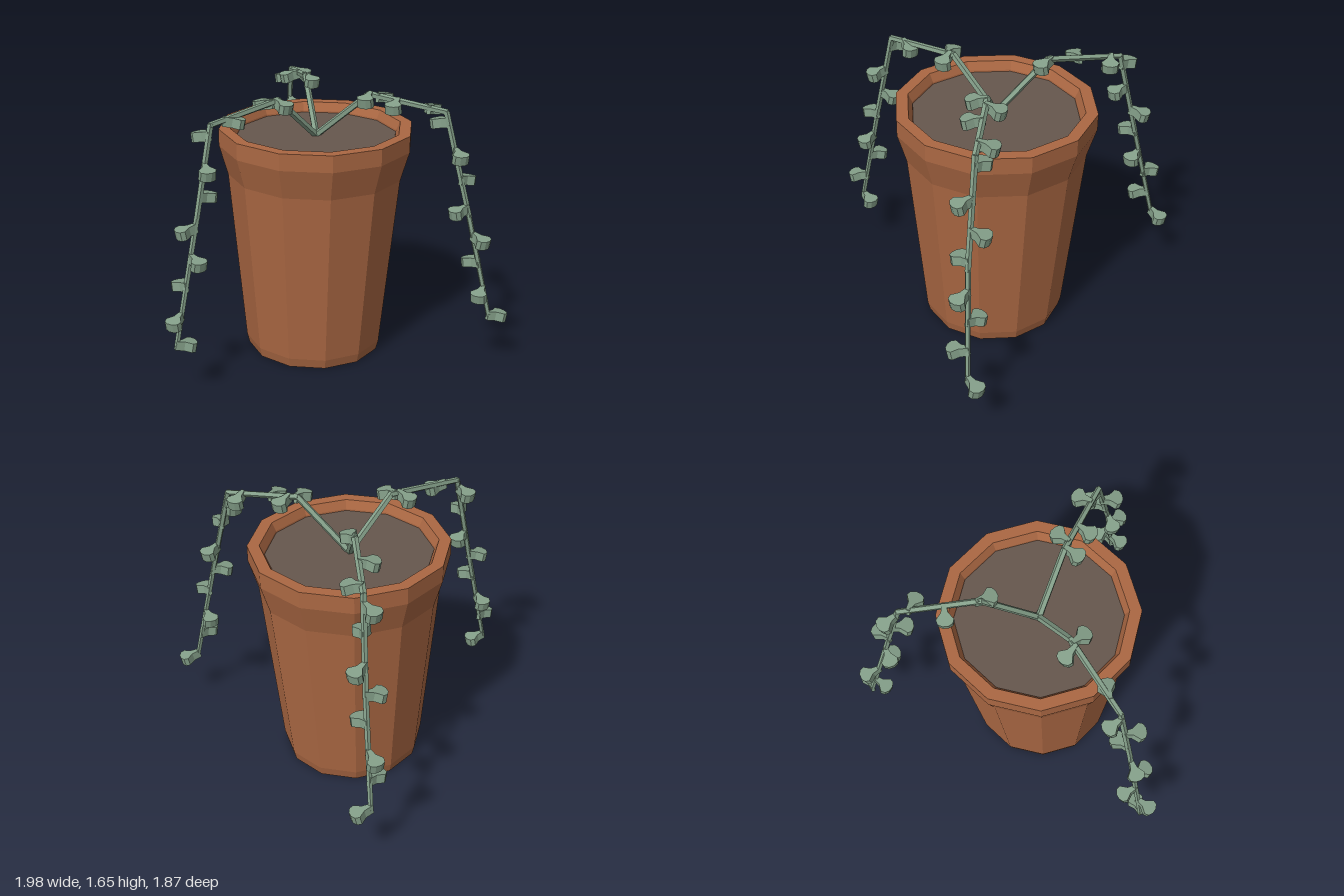
import * as THREE from 'three';

const material = (name, color) => new THREE.MeshStandardMaterial({ name, color, flatShading: true });
const V = (x, y, z) => new THREE.Vector3(x, y, z);

export function createModel() {
  const terracotta = material('terracotta', 0xab6843);
  const earth = material('earth', 0x66574e);
  const green = material('leaf green', 0x849f89);

  const model = new THREE.Group();
  model.name = 'hangingPottedPlant';
  const add = (parent, name, geometry, mat) => {
    const mesh = new THREE.Mesh(geometry, mat);
    mesh.name = name;
    parent.add(mesh);
    return mesh;
  };

  // Pot: twelve-sided shell with a flared rim, open at the top
  const profile = [
    [0, 0], [0.412, 0], [0.427, 0.06], [0.528, 1.13], [0.58, 1.31],
    [0.58, 1.41], [0.51, 1.41], [0.485, 1.36], [0.475, 1.3],
  ].map(([r, y]) => new THREE.Vector2(r, y));
  add(model, 'pot', new THREE.LatheGeometry(profile, 12), terracotta).position.set(0.028, 0, -0.22);

  // Soil disc just below the rim
  const soil = add(model, 'soil', new THREE.CircleGeometry(0.485, 12), earth);
  soil.rotation.x = -Math.PI / 2;
  soil.position.set(0.028, 1.35, -0.22);

  // Thick fan-shaped leaf, growing along +x and drooping at the tip
  const fan = new THREE.Shape();
  fan.moveTo(-0.01, -0.011);
  fan.lineTo(0.04, -0.02);
  fan.lineTo(0.078, -0.05);
  fan.lineTo(0.104, -0.042);
  fan.lineTo(0.118, -0.016);
  fan.lineTo(0.118, 0.016);
  fan.lineTo(0.104, 0.042);
  fan.lineTo(0.078, 0.05);
  fan.lineTo(0.04, 0.02);
  fan.lineTo(-0.01, 0.011);
  const leafGeometry = new THREE.ExtrudeGeometry(fan, { depth: 0.055, bevelEnabled: false });
  leafGeometry.translate(0, 0, -0.0275).rotateX(-Math.PI / 2).rotateZ(-0.2);

  const addLeaf = (parent, at, [dx, dz]) => {
    const leaf = add(parent, 'leaf', leafGeometry, green);
    leaf.position.copy(at);
    leaf.rotation.y = Math.atan2(-dz, dx);
  };

  // Tapered stem piece between two points
  const addSegment = (parent, a, b, ra, rb) => {
    const dir = b.clone().sub(a);
    const piece = add(parent, 'stem', new THREE.CylinderGeometry(rb, ra, dir.length() + 0.012, 5), green);
    piece.position.copy(a).add(b).multiplyScalar(0.5);
    piece.quaternion.setFromUnitVectors(V(0, 1, 0), dir.normalize());
  };

  // Each vine: bend points, then leaves on the arching part as [fraction, direction]
  const base = V(0.028, 1.35, -0.22);
  const vines = [
    {
      name: 'frontVine',
      path: [base, V(0.05, 1.62, 0.08), V(0.065, 1.565, 0.56), V(0.085, 1.05, 0.68), V(0.1, 0.32, 0.85)],
      arch: [[0.05, [1, -0.2]], [0.1, [-1, 0.3]], [0.8, [0.3, -1]]],
    },
    {
      name: 'rightVine',
      path: [base, V(-0.25, 1.63, -0.36), V(-0.66, 1.56, -0.57), V(-0.78, 1.02, -0.64), V(-0.935, 0.38, -0.715)],
      arch: [[0.05, [1, 0.1]], [0.44, [-0.5, 1]], [0.87, [0.9, -0.6]]],
    },
    {
      name: 'leftVine',
      path: [base, V(0.3, 1.63, -0.39), V(0.68, 1.565, -0.64), V(0.825, 0.96, -0.72), V(0.94, 0.33, -0.82)],
      arch: [[0.02, [0.4, 0.8]], [0.12, [-0.3, -1]], [0.38, [0.4, 0.8]], [0.78, [-0.5, -0.9]]],
    },
  ];

  // Directions of the leaves down the hanging part, top to tip
  const hanging = [
    [-1, 0.1], [1, 0.4], [-0.3, -1], [-0.2, 1], [1, 0], [-1, -0.1], [0.4, 0.9], [0.2, -1],
  ];

  for (const { name, path, arch } of vines) {
    const vine = new THREE.Group();
    vine.name = name;
    model.add(vine);
    const radii = [0.021, 0.02, 0.018, 0.017, 0.015];
    for (let i = 0; i < 4; i++) addSegment(vine, path[i], path[i + 1], radii[i], radii[i + 1]);

    for (const [t, dir] of arch) {
      const at = path[1].clone().lerp(path[2], t);
      at.y -= 0.008;
      addLeaf(vine, at, dir);
    }

    // Hanging leaves are spaced evenly in height
    const [, , top, bend, tip] = path;
    hanging.forEach((dir, i) => {
      const y = THREE.MathUtils.lerp(top.y - 0.06, tip.y, i / (hanging.length - 1));
      const at = y > bend.y
        ? top.clone().lerp(bend, (top.y - y) / (top.y - bend.y))
        : bend.clone().lerp(tip, (bend.y - y) / (bend.y - tip.y));
      addLeaf(vine, at, dir);
    });
  }

  return model;
}
